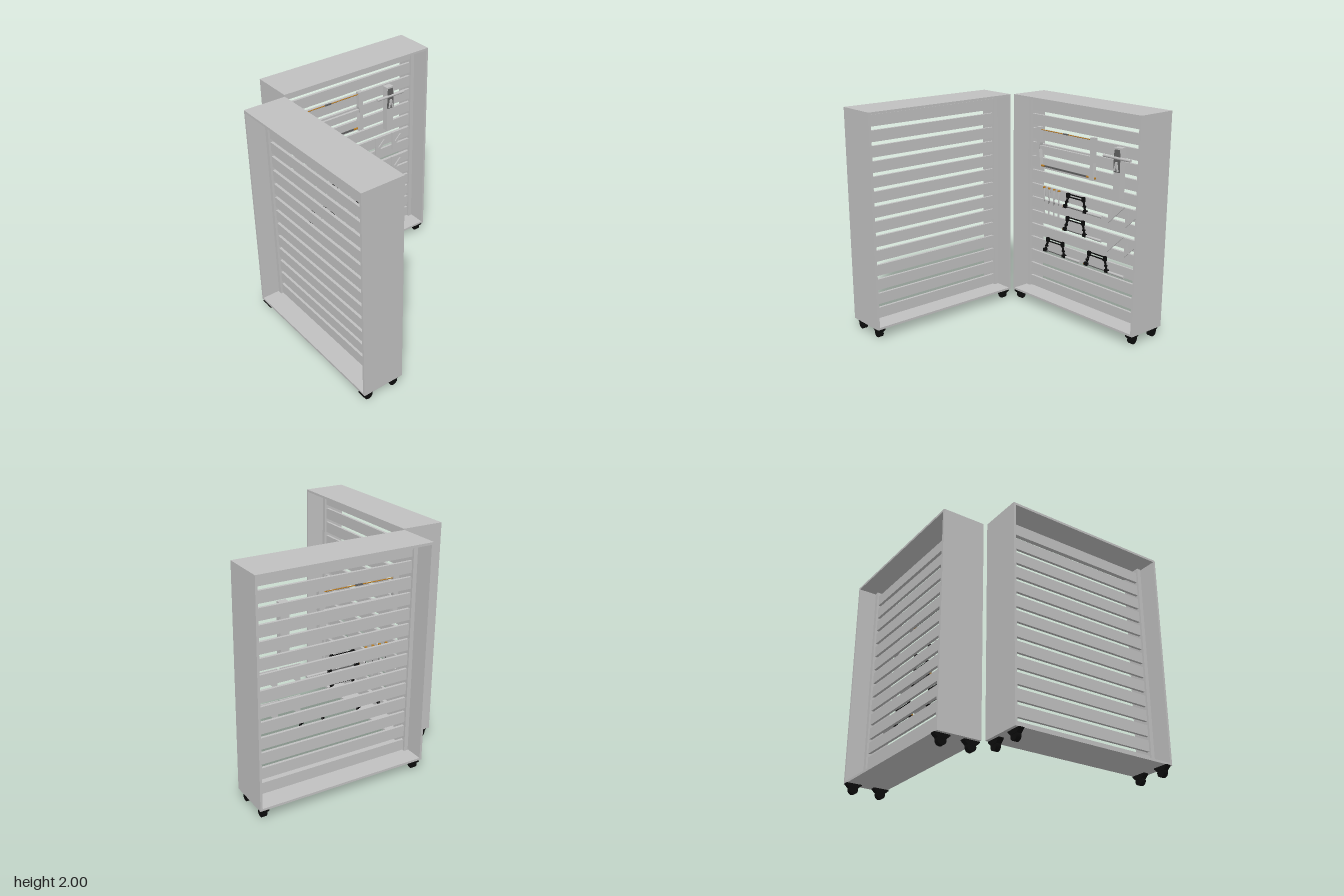
import * as THREE from 'three';

const mat = (name, color) => {
  const m = new THREE.MeshStandardMaterial({ color });
  m.name = name;
  return m;
};

export function createModel() {
  const grey = mat('paintedGrey', 0xc0c0c0);
  const black = mat('blackMetal', 0x0c0c0c);
  const steel = mat('darkSteel', 0x606060);
  const brass = mat('brass', 0xb87a20);
  const FACE = -0.768; // front of the slats that carry the tools

  const group = (name, parent) => {
    const g = new THREE.Group();
    g.name = name;
    parent.add(g);
    return g;
  };
  const add = (parent, name, geo, material, x = 0, y = 0, z = 0) => {
    const m = new THREE.Mesh(geo, material);
    m.name = name;
    m.position.set(x, y, z);
    parent.add(m);
    return m;
  };
  const box = (p, name, m, x0, x1, y0, y1, z0, z1) =>
    add(p, name, new THREE.BoxGeometry(x1 - x0, y1 - y0, z1 - z0), m, (x0 + x1) / 2, (y0 + y1) / 2, (z0 + z1) / 2);
  // round bar between two points
  const rod = (p, name, m, a, b, r0, r1 = r0, sides = 12) => {
    const A = new THREE.Vector3(...a), B = new THREE.Vector3(...b), d = B.clone().sub(A);
    const mesh = add(p, name, new THREE.CylinderGeometry(r1, r0, d.length(), sides), m);
    mesh.position.copy(A).add(B).multiplyScalar(0.5);
    mesh.quaternion.setFromUnitVectors(new THREE.Vector3(0, 1, 0), d.normalize());
    return mesh;
  };
  const poly = pts => new THREE.Shape(pts.map(([x, y]) => new THREE.Vector2(x, y)));
  const plate = (shape, depth) => new THREE.ExtrudeGeometry(shape, { depth, bevelEnabled: false });

  // Open case: outer frame, posts, slats and four casters
  function slatCase(name, x, z, turn) {
    const g = group(name, root), L = 0.765, D = 0.19;
    g.position.set(x, 0, z);
    g.rotation.y = turn;
    box(g, 'topPanel', grey, -L, L, 1.98, 2, -D, D);
    box(g, 'bottomPanel', grey, -L, L, 0.09, 0.11, -D, D);
    for (const s of [-1, 1]) {
      add(g, 'sidePanel', new THREE.BoxGeometry(0.02, 1.87, 2 * D), grey, s * (L - 0.01), 1.045, 0);
      add(g, 'post', new THREE.BoxGeometry(0.037, 1.87, 0.06), grey, s * 0.72, 1.045, 0);
      for (const t of [-1, 1]) caster(g, s * 0.715, t * 0.127);
    }
    for (let i = 0; i < 14; i++)
      add(g, 'slat', new THREE.BoxGeometry(1.41, 0.099, 0.024), grey, 0, 0.165 + i * 0.133, 0);
  }

  // Wheel below a tapered mount
  function caster(parent, x, z) {
    const g = group('caster', parent);
    g.position.set(x, 0, z);
    const wheel = add(g, 'wheel', new THREE.CylinderGeometry(0.039, 0.039, 0.042, 24), black, 0, 0.039, 0);
    wheel.rotation.z = Math.PI / 2;
    const mount = plate(poly([[-0.07, 0.09], [-0.07, 0.082], [-0.035, 0.05], [0.035, 0.05], [0.07, 0.082], [0.07, 0.09]]), 0.046);
    mount.translate(0, 0, -0.023);
    add(g, 'mount', mount, black).rotation.y = Math.PI / 2;
  }

  const root = new THREE.Group();
  root.name = 'toolCabinets';
  slatCase('toolCase', 0.195, -0.782, 0);
  slatCase('emptyCase', -0.773, 0.2, Math.PI / 2);

  // Large frame saw
  const saw = group('frameSaw', root);
  const arm = poly([[-0.025, 1.705], [0.022, 1.705], [0.022, 1.56], [0.01, 1.5], [0.022, 1.42], [0.03, 1.325], [-0.025, 1.325], [-0.02, 1.48]]);
  for (const [x, s] of [[-0.38, 1], [0.3, -1]]) {
    const g = plate(arm, 0.04);
    if (s < 0) g.rotateY(Math.PI).translate(0, 0, 0.04);
    add(saw, 'arm', g, grey, x, 0, FACE);
    rod(saw, 'bladePin', brass, [x - s * 0.035, 1.345, FACE + 0.02], [x + s * 0.07, 1.345, FACE + 0.02], 0.009);
  }
  box(saw, 'stretcher', grey, -0.365, 0.285, 1.505, 1.535, FACE + 0.008, FACE + 0.032);
  box(saw, 'blade', steel, -0.32, 0.24, 1.337, 1.353, FACE + 0.017, FACE + 0.023);
  rod(saw, 'tensionCord', brass, [-0.41, 1.682, FACE + 0.02], [0.32, 1.682, FACE + 0.02], 0.004);
  box(saw, 'toggle', steel, -0.075, -0.01, 1.677, 1.688, FACE + 0.014, FACE + 0.026);

  // Hand plane with a cross handle
  const plane = group('handPlane', root);
  box(plane, 'body', grey, 0.58, 0.655, 1.23, 1.67, FACE, FACE + 0.06);
  rod(plane, 'crossHandle', grey, [0.465, 1.583, FACE + 0.065], [0.77, 1.583, FACE + 0.065], 0.013);
  const wedge = plate(poly([[-0.033, 1.46], [0.033, 1.46], [0.033, 1.6], [0.025, 1.655], [-0.025, 1.655], [-0.033, 1.6]]), 0.009);
  add(plane, 'iron', wedge, steel, 0.6175, 0, FACE + 0.06);
  const grip = plate(poly([[-0.025, 1.47], [-0.01, 1.55], [0.01, 1.55], [0.025, 1.47], [0.012, 1.47], [0, 1.52], [-0.012, 1.47]]), 0.012);
  add(plane, 'wedge', grip, grey, 0.6175, 0, FACE + 0.066);

  // Row of chisels
  for (let i = 0; i < 4; i++) {
    const g = group('chisel', root);
    g.position.set(-0.317 + i * 0.065, 0, FACE + 0.014);
    rod(g, 'handle', grey, [0, 1.02, 0], [0, 1.135, 0], 0.007, 0.012);
    rod(g, 'ferrule', brass, [0, 1.135, 0], [0, 1.146, 0], 0.0125);
    rod(g, 'shank', steel, [0, 0.99, 0], [0, 1.02, 0], 0.004);
    box(g, 'blade', grey, -0.008, 0.008, 0.88, 1.0, -0.003, 0.003);
  }

  // Small bow saws
  for (const [x, y] of [[0, 0], [0, -0.22], [-0.256, -0.485], [0.28, -0.485]]) {
    const g = group('bowSaw', root);
    g.position.set(x, y, FACE + 0.016);
    for (const h of [1.113, 1.138]) rod(g, 'bar', black, [-0.01, h, 0], [0.205, h, 0], 0.006);
    for (const [top, foot] of [[0, -0.035], [0.195, 0.22]]) {
      box(g, 'corner', black, top - 0.014, top + 0.014, 1.103, 1.146, -0.012, 0.012);
      for (const o of [-0.007, 0.007]) rod(g, 'leg', black, [top + o, 1.11, 0], [foot + o, 1.015, 0], 0.005);
      const mid = 0.5 * (top + foot);
      box(g, 'legBlock', black, mid - 0.014, mid + 0.014, 1.055, 1.068, -0.009, 0.009);
      box(g, 'foot', black, foot - 0.02, foot + 0.02, 1.002, 1.03, -0.012, 0.012);
    }
    rod(g, 'bladePin', brass, [-0.062, 1.012, 0], [-0.045, 1.012, 0], 0.008);
    box(g, 'blade', steel, -0.03, 0.22, 1.008, 1.016, -0.002, 0.002);
    rod(g, 'handle', grey, [0.24, 1.012, 0], [0.425, 1.012, 0], 0.011, 0.013);
  }

  // Set squares
  const tri = poly([[0, 0], [0, -0.18], [0.185, 0]]);
  tri.holes.push(new THREE.Path([[0.03, -0.035], [0.105, -0.035], [0.03, -0.11]].map(([x, y]) => new THREE.Vector2(x, y))));
  for (const x of [0.487, 0.687])
    for (const y of [1.15, 0.883]) add(root, 'setSquare', plate(tri, 0.01), grey, x, y, FACE);

  return root;
}
